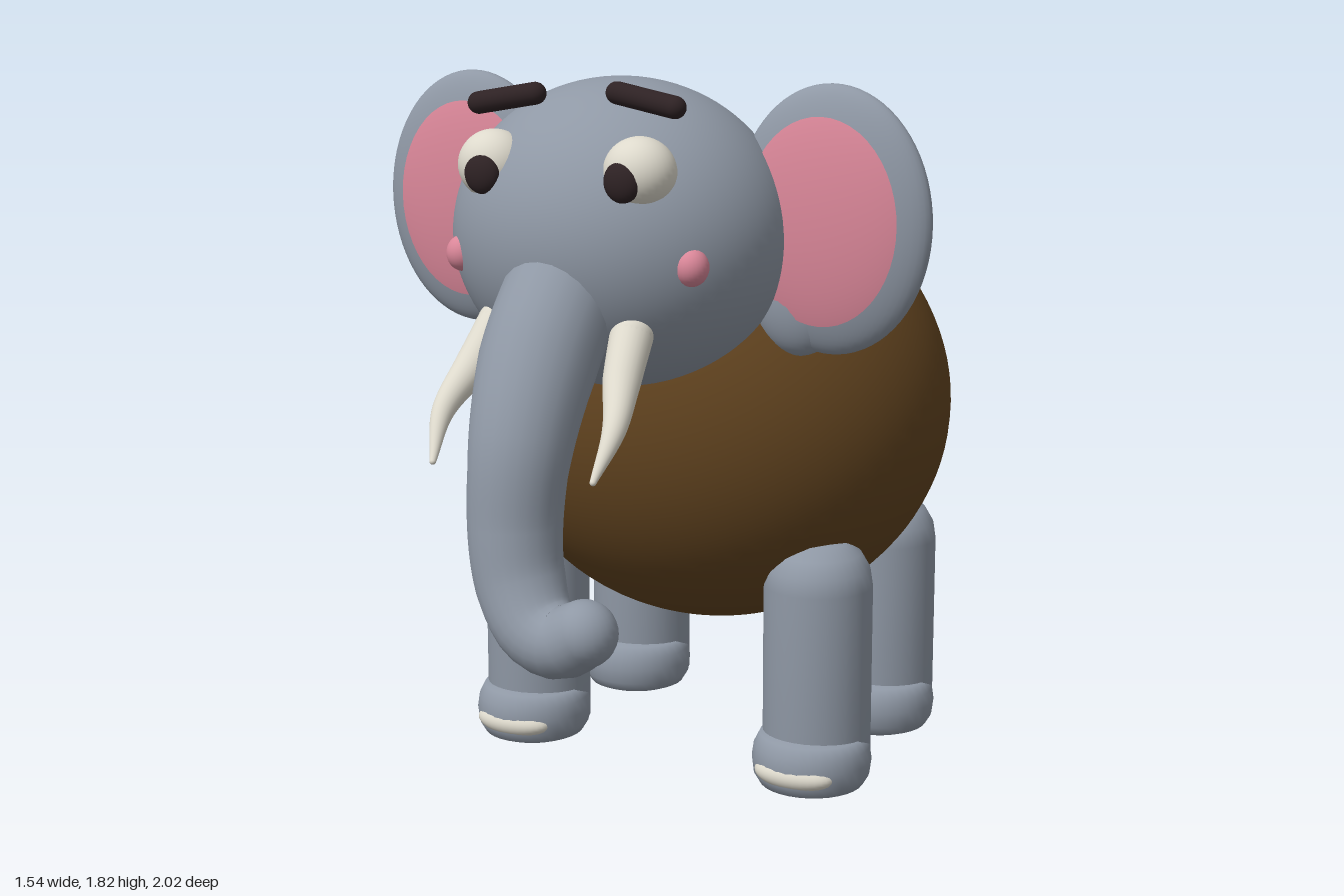
import * as THREE from 'three';

const paint = (name, color) => {
  const m = new THREE.MeshStandardMaterial({ color });
  m.name = name;
  return m;
};

export function createModel() {
  const grey = paint('grey skin', 0x8f98a5);
  const brown = paint('brown wool', 0x61431f);
  const pink = paint('pink', 0xda8799);
  const ivory = paint('ivory', 0xddd9cc);
  const dark = paint('dark brown', 0x2e2224);

  const model = new THREE.Group();
  model.name = 'elephant';

  const add = (name, geometry, material, pos = [0, 0, 0], parent = model) => {
    const mesh = new THREE.Mesh(geometry, material);
    mesh.name = name;
    mesh.position.set(...pos);
    parent.add(mesh);
    return mesh;
  };

  const group = (name) => {
    const g = new THREE.Group();
    g.name = name;
    model.add(g);
    return g;
  };

  // Ellipsoid with its centre and three radii
  const blob = (name, material, pos, [rx, ry, rz], parent = model, seg = 32) =>
    add(name, new THREE.SphereGeometry(1, seg, seg * 0.75).scale(rx, ry, rz), material, pos, parent);

  // Tube along a smooth path whose radius follows a list, with round ends
  const taperedTube = (name, material, points, radii, parent = model) => {
    const path = new THREE.CatmullRomCurve3(points.map((p) => new THREE.Vector3(...p)));
    const steps = 40, sides = 24;
    const geo = new THREE.TubeGeometry(path, steps, 1, sides);
    const pos = geo.attributes.position;
    const v = new THREE.Vector3();
    for (let i = 0; i < pos.count; i++) {
      const u = Math.floor(i / (sides + 1)) / steps;
      const t = u * (radii.length - 1);
      const k = Math.min(Math.floor(t), radii.length - 2);
      const r = THREE.MathUtils.lerp(radii[k], radii[k + 1], t - k);
      const c = path.getPointAt(u);
      v.fromBufferAttribute(pos, i).sub(c).multiplyScalar(r).add(c);
      pos.setXYZ(i, v.x, v.y, v.z);
    }
    add(name, geo, material, [0, 0, 0], parent);
    const r0 = radii[0], r1 = radii[radii.length - 1];
    blob(name + 'Start', material, points[0], [r0, r0, r0], parent, 24);
    blob(name + 'Tip', material, points[points.length - 1], [r1, r1, r1], parent, 24);
  };

  // Body with three tufts on the back
  blob('body', brown, [0, 0.933, -0.125], [0.63, 0.59, 0.595], model, 64);
  for (const p of [[-0.13, 1.37, -0.5], [0, 1.415, -0.46], [0.127, 1.37, -0.505]]) {
    blob('backTuft', brown, p, [0.06, 0.06, 0.06], model, 24);
  }

  // Head and trunk
  blob('head', grey, [0, 1.44, 0.38], [0.425, 0.38, 0.395], model, 64);
  const trunk = group('trunk');
  taperedTube('trunkTube', grey,
    [[0, 1.37, 0.62], [0.003, 1.2, 0.77], [0.005, 1, 0.865], [0, 0.8, 0.888],
      [0.02, 0.68, 0.9], [0.075, 0.585, 0.92], [0.145, 0.56, 0.93], [0.21, 0.59, 0.93]],
    [0.145, 0.14, 0.117, 0.107, 0.08], trunk);

  // Leg outline: flat sole, swelling foot, and a rounded top
  const footProfile = [[0, 0], [0.11, 0], [0.135, 0.01], [0.15, 0.035], [0.155, 0.075],
    [0.15, 0.11], [0.135, 0.14], [0, 0.17]].map((p) => new THREE.Vector2(...p));
  const shaftProfile = [[0, 0.002], [0.11, 0.002], [0.14, 0.04], [0.14, 0.53], [0.133, 0.575],
    [0.11, 0.615], [0.07, 0.642], [0, 0.652]].map((p) => new THREE.Vector2(...p));

  for (const s of [1, -1]) {
    const side = s > 0 ? 'left' : 'right';

    // Ear with pink inner face
    const ear = group(side + 'Ear');
    blob('earFlap', grey, [s * 0.51, 1.485, 0.258], [0.26, 0.327, 0.08], ear, 48);
    blob('earRoot', grey, [s * 0.42, 1.29, 0.25], [0.12, 0.145, 0.07], ear);
    const inner = new THREE.SphereGeometry(1, 48, 16, 0, Math.PI * 2, 0, Math.asin(0.77));
    inner.rotateX(Math.PI / 2).scale(0.26, 0.327, 0.08);
    add('innerEar', inner, pink, [s * 0.504, 1.485, 0.264], ear);

    // Eye
    const eye = group(side + 'Eye');
    blob('eyeball', ivory, [s * 0.2, 1.62, 0.643], [0.088, 0.085, 0.085], eye);
    blob('pupil', dark, [s * 0.191, 1.605, 0.71], [0.047, 0.049, 0.028], eye, 24);

    // Tusk
    const tusk = group(side + 'Tusk');
    taperedTube('tuskTube', ivory,
      [[s * 0.185, 1.24, 0.66], [s * 0.205, 1.15, 0.74], [s * 0.235, 1.05, 0.83], [s * 0.22, 0.942, 0.9]],
      [0.052, 0.045, 0.028, 0.008], tusk);

    // Front and hind legs
    for (const [name, x, z] of [['FrontLeg', 0.423, 0.125], ['HindLeg', 0.385, -0.38]]) {
      const leg = group(side + name);
      add('shaft', new THREE.LatheGeometry(shaftProfile, 32), grey, [s * x, 0, z], leg);
      add('foot', new THREE.LatheGeometry(footProfile, 32), grey, [s * x, 0, z + 0.028], leg);
      if (name === 'FrontLeg') {
        blob('toenails', ivory, [s * x, 0.06, z + 0.13], [0.11, 0.042, 0.057], leg);
      }
    }
  }

  // Cheeks
  blob('rightCheek', pink, [-0.295, 1.4, 0.64], [0.043, 0.045, 0.043], model, 24);
  blob('leftCheek', pink, [0.32, 1.405, 0.615], [0.042, 0.046, 0.042], model, 24);

  // Eyebrows
  const brow = (name, a, b) => {
    const from = new THREE.Vector3(...a), to = new THREE.Vector3(...b);
    const mesh = add(name, new THREE.CapsuleGeometry(0.027, from.distanceTo(to), 8, 20), dark);
    mesh.position.copy(from).lerp(to, 0.5);
    mesh.quaternion.setFromUnitVectors(new THREE.Vector3(0, 1, 0), to.sub(from).normalize());
  };
  brow('rightEyebrow', [-0.255, 1.763, 0.622], [-0.102, 1.79, 0.612]);
  brow('leftEyebrow', [0.095, 1.795, 0.565], [0.257, 1.768, 0.578]);

  // Tail with tuft
  const tail = group('tail');
  taperedTube('tailTube', grey,
    [[0, 0.87, -0.67], [0.003, 0.81, -0.735], [0.02, 0.675, -0.85], [0.05, 0.56, -0.915], [0.08, 0.46, -0.945]],
    [0.042, 0.032, 0.024, 0.022, 0.022], tail);
  blob('tailTuft', brown, [0.083, 0.43, -0.952], [0.05, 0.06, 0.05], tail, 24);

  return model;
}
